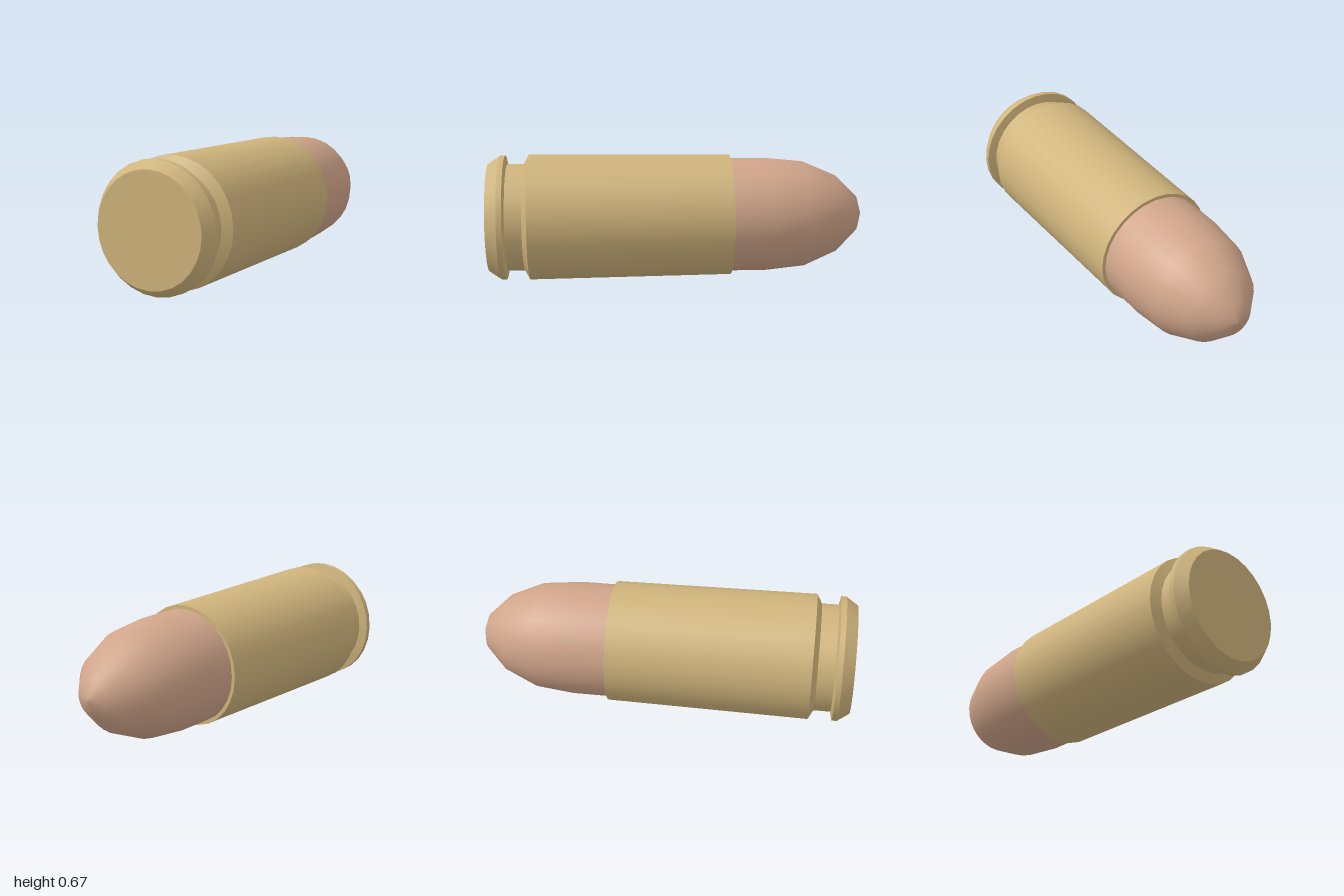
import * as THREE from 'three';

const SIDES = 28;
const AXIS_HEIGHT = 0.335;

export function createModel() {
  const model = new THREE.Group();
  model.name = 'cartridge';
  const brass = new THREE.MeshStandardMaterial({ color: 0xcfb47c });
  const copper = new THREE.MeshStandardMaterial({ color: 0xd0a58a });

  // Turns a profile of [radius, z] points, listed from back to front, around the z axis
  function turned(name, profile, material, parent) {
    const points = profile.map(([r, z]) => new THREE.Vector2(r, z));
    const mesh = new THREE.Mesh(new THREE.LatheGeometry(points, SIDES), material);
    mesh.name = name;
    mesh.rotation.x = Math.PI / 2;
    mesh.position.y = AXIS_HEIGHT;
    parent.add(mesh);
  }

  // Smooth rounded projectile, seated just inside the case mouth
  turned('bullet', [
    [0, -1], [0.095, -0.97], [0.208, -0.855], [0.282, -0.685],
    [0.303, -0.48], [0.303, -0.28],
  ], copper, model);

  // Case: each band is turned separately so the edges between them stay sharp
  const casing = new THREE.Group();
  casing.name = 'case';
  model.add(casing);
  const bands = [
    ['caseMouth', [0.3, -0.285]],
    ['caseBody', [0.322, -0.285]],
    ['grooveBevel', [0.334, 0.785]],
    ['extractorGroove', [0.285, 0.812]],
    ['rimBack', [0.285, 0.9]],
    ['rimEdge', [0.331, 0.91]],
    ['rimBevel', [0.331, 0.938]],
    ['caseHead', [0.289, 1]],
  ];
  bands.forEach(([name, start], i) => {
    const end = i + 1 < bands.length ? bands[i + 1][1] : [0, 1];
    turned(name, [start, end], brass, casing);
  });

  return model;
}
